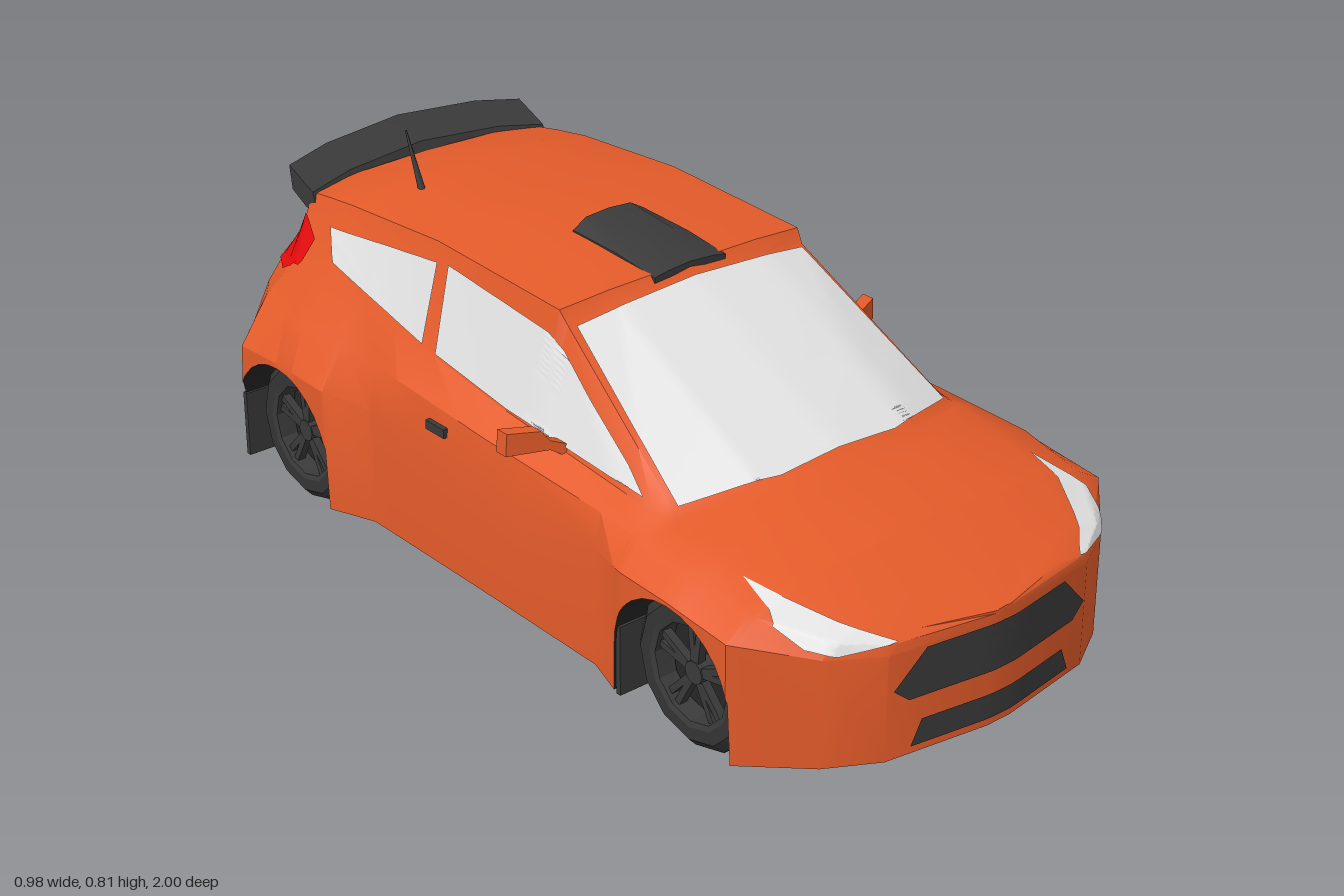
import * as THREE from 'three';
import { mergeVertices, toCreasedNormals } from 'three/addons/utils/BufferGeometryUtils.js';

const material = (name, color) => new THREE.MeshStandardMaterial({ name, color, side: THREE.DoubleSide });
const V = (x, y, z) => new THREE.Vector3(x, y, z);

// Long body lines, front to rear: [z, x, y, optional z shift]
const LINES = {
  waist: [[.995, .03, .29], [.96, .26, .29], [.9, .365, .295], [.78, .488, .32], [.62, .49, .335], [.48, .485, .335],
    [.36, .447, .32], [0, .442, .32], [-.38, .44, .32], [-.5, .485, .335], [-.65, .487, .34], [-.8, .485, .33], [-.9, .38, .3], [-.97, .25, .28]],
  shoulder: [[.995, .025, .305], [.96, .24, .31], [.9, .34, .325], [.78, .425, .355], [.62, .445, .375], [.48, .435, .385],
    [.36, .43, .39], [0, .428, .4], [-.38, .425, .42], [-.65, .44, .43], [-.8, .42, .43], [-.9, .355, .42], [-.97, .25, .39]],
  base: [[.995, .02, .31], [.96, .18, .32], [.9, .27, .34], [.78, .33, .378], [.62, .36, .4], [.5, .38, .407],
    [0, .375, .445], [-.24, .372, .475], [-.62, .365, .535], [-.76, .365, .505], [-.92, .315, .45], [-.97, .25, .435]],
  roofEdge: [[.995, .015, .312], [.96, .09, .322], [.78, .17, .392], [.62, .2, .428], [.5, .358, .41], [.11, .305, .648],
    [.09, .31, .676], [-.3, .31, .69], [-.6, .31, .67], [-.79, .3, .645], [-.97, .235, .455]],
  roofMid: [[.995, .01, .312], [.96, .05, .325], [.78, .1, .397], [.62, .12, .433], [.5, .2, .442, .05], [.11, .19, .664, .01],
    [.09, .19, .688, .01], [-.3, .19, .705], [-.6, .19, .692], [-.79, .18, .66], [-.97, .12, .462]],
  centre: [[.995, 0, .313], [.96, 0, .328], [.78, 0, .4], [.62, 0, .437], [.5, 0, .45, .06], [.11, 0, .672, .015],
    [.09, 0, .693, .015], [-.1, 0, .706], [-.3, 0, .712], [-.6, 0, .7], [-.79, 0, .665], [-.97, 0, .465]],
};
const AXLES = [.62, -.655], ARCH = .167, WHEEL_Y = .16;
const sill = z => .061 + .006 * z;

function archY(z) {
  for (const c of AXLES) {
    const d = Math.abs(z - c);
    if (d <= ARCH) return WHEEL_Y + Math.sqrt(Math.max(0, ARCH * ARCH - d * d));
  }
  return sill(z);
}

// Point on a body line; the tail leans forward with height
function sample(line, z) {
  let i = 0;
  while (i < line.length - 2 && z < line[i + 1][0]) i++;
  const a = line[i], b = line[i + 1], t = (a[0] - z) / (a[0] - b[0]);
  const mix = k => THREE.MathUtils.lerp(a[k] ?? 0, b[k] ?? 0, t);
  const lean = THREE.MathUtils.clamp((-z - .7) / .27, 0, 1) * .15;
  return V(mix(1), mix(2), z + mix(3) + (mix(2) - .2) * lean);
}

function stations() {
  const zs = new Set(Object.values(LINES).flat().map(p => p[0]));
  for (const c of AXLES) {
    for (let i = 0; i <= 14; i++) zs.add(+(c + ARCH * Math.cos(i * Math.PI / 14)).toFixed(4));
    zs.add(c + ARCH + .001).add(c - ARCH - .001);
  }
  return [...zs].sort((a, b) => b - a);
}

function loft(rows, crease = .5) {
  const n = rows[0].length, index = [];
  for (let i = 0; i < rows.length - 1; i++) for (let j = 0; j < n - 1; j++) {
    const a = i * n + j, d = a + n;
    index.push(a, a + 1, d + 1, a, d + 1, d);
  }
  const g = new THREE.BufferGeometry().setFromPoints(rows.flat());
  g.setIndex(index);
  return toCreasedNormals(g, crease);
}

const mirrorRow = half => [...half.map(p => V(-p.x, p.y, p.z)), ...half.slice(0, -1).reverse()];
// Close both ends of a loft by shrinking the end rows to a point
function capped(rows) {
  const cap = row => {
    const c = row.reduce((s, p) => s.add(p), V(0, 0, 0)).divideScalar(row.length);
    return row.map(() => c.clone());
  };
  return [cap(rows[0]), ...rows, cap(rows.at(-1))];
}

// Sweep a mirror part backwards as it reaches outwards
function swept(g) {
  const p = g.attributes.position;
  for (let i = 0; i < p.count; i++) p.setZ(i, p.getZ(i) - (Math.abs(p.getX(i)) - .365) * .45);
  g.computeVertexNormals();
  return g;
}

export function createModel() {
  const car = new THREE.Group();
  car.name = 'rallyHatchback';
  const paint = material('orangePaint', 0xe45b2a), glass = material('paleGlass', 0xe4e4e4), trim = material('darkTrim', 0x3a3a3a),
    rubber = material('tyreRubber', 0x343434), black = material('blackUnderside', 0x262626), red = material('redLamp', 0xe60c0c);
  const add = (name, geometry, mat, parent = car) => {
    const m = new THREE.Mesh(geometry, mat);
    m.name = name;
    parent.add(m);
    return m;
  };
  const box = (name, mat, w, h, d, x, y, z) => add(name, new THREE.BoxGeometry(w, h, d).translate(x, y, z), mat);

  // Body shell and black floor with wheel wells
  const shell = [], floor = [];
  for (const z of stations()) {
    const pts = Object.values(LINES).map(l => sample(l, z)), y = archY(z), w = pts[0];
    w.y = Math.max(w.y, y + .008);
    const low = V(w.x, y, z);
    shell.push(mirrorRow([low, ...pts]));
    const inner = Math.min(.32, w.x);
    floor.push([low, V(inner, y, z), V(inner, sill(z), z), V(-inner, sill(z), z), V(-inner, y, z), V(-w.x, y, z)]);
  }
  const flatten = row => row.map(p => V(0, p.y, p.z));
  const body = add('bodyShell', loft([flatten(shell[0]), ...shell, flatten(shell.at(-1))]), paint);
  add('floor', loft(floor, .3), black);
  car.updateMatrixWorld(true);

  // Thin panel laid onto the shell: outline seen along one axis, split finely and projected
  const ray = new THREE.Raycaster();
  function panel(name, mat, outline, axis, sign, off = .005) {
    let tris = new THREE.ShapeGeometry(new THREE.Shape(outline.map(p => new THREE.Vector2(...p)))).toNonIndexed();
    for (let k = 0; k < 4; k++) {
      const p = tris.attributes.position, out = [];
      for (let i = 0; i < p.count; i += 3) {
        const [a, b, c] = [0, 1, 2].map(j => new THREE.Vector3().fromBufferAttribute(p, i + j));
        const [ab, bc, ca] = [[a, b], [b, c], [c, a]].map(([s, t]) => s.clone().lerp(t, .5));
        out.push(a, ab, ca, ab, b, bc, ca, bc, c, ab, bc, ca);
      }
      tris = new THREE.BufferGeometry().setFromPoints(out);
    }
    const g = mergeVertices(tris, 1e-5), p = g.attributes.position, dir = V(0, 0, 0);
    dir[axis] = -sign;
    let depth = 0;
    for (let i = 0; i < p.count; i++) {
      const u = p.getX(i), v = p.getY(i);
      const at = axis === 'x' ? V(0, v, u) : axis === 'y' ? V(u, 0, v) : V(u, v, 0);
      at[axis] = 2 * sign;
      ray.set(at, dir);
      const hit = ray.intersectObject(body)[0];
      if (hit) depth = hit.point[axis];
      at[axis] = depth + off * sign;
      p.setXYZ(i, at.x, at.y, at.z);
    }
    add(name, toCreasedNormals(g, .5), mat);
  }
  const both = half => [...half, ...half.map(([u, v]) => [-u, v]).reverse()];

  // Glass, grilles and tail panels
  panel('windscreen', glass, both([[.15, .55], [.2, .54], [.348, .486], [.293, .122], [.19, .13]]), 'y', 1);
  panel('rearWindow', glass, both([[.21, .615], [.228, .6], [.215, .51], [.19, .49]]), 'z', -1);
  panel('upperGrille', trim, both([[.18, .288], [.25, .215], [.215, .187]]), 'z', 1);
  panel('lowerGrille', trim, both([[.185, .138], [.208, .085]]), 'z', 1);
  panel('plateRecess', trim, both([[.076, .41], [.08, .35]]), 'z', -1);
  panel('rearDiffuser', trim, both([[.25, .172], [.37, .11], [.39, .06]]), 'z', -1, .008);

  for (const s of [1, -1]) {
    const side = s > 0 ? 'left' : 'right', flip = pts => pts.map(([x, z]) => [x * s, z]);
    panel(side + 'FrontWindow', glass, [[.42, .428], [.08, .63], [-.25, .658], [-.235, .482], [0, .452]], 'x', s);
    panel(side + 'QuarterWindow', glass, [[-.28, .488], [-.285, .653], [-.655, .612], [-.61, .552]], 'x', s);
    panel(side + 'Headlight', glass, flip([[.375, .383], [.41, .345], [.385, .312], [.345, .302], [.238, .315], [.31, .345]]), 'z', 1, .009);
    panel(side + 'TailLight', red, flip([[.345, -.70], [.372, -.73], [.366, -.8], [.315, -.888], [.26, -.908], [.308, -.8]]), 'y', 1, .008);
    box(side + 'DoorHandle', trim, .014, .02, .06, s * .436, .368, -.15);

    // Door mirror on its arm
    const arm = [[.365, .415], [.405, .44], [.485, .437], [.482, .485], [.42, .482], [.405, .46], [.365, .445]];
    const mirror = new THREE.Shape(flip(arm).map(p => new THREE.Vector2(...p)));
    add(side + 'Mirror', swept(new THREE.ExtrudeGeometry(mirror, { depth: .03, bevelEnabled: false }).translate(0, 0, .165)), paint);
    add(side + 'MirrorGlass', swept(new THREE.BoxGeometry(.056, .036, .006).translate(s * .449, .461, .164)), glass);

    // Exhaust and its dark bore
    add(side + 'Exhaust', new THREE.CylinderGeometry(.032, .032, .07, 10).rotateX(Math.PI / 2).translate(s * .19, .12, -.965), trim);
    add(side + 'ExhaustBore', new THREE.CircleGeometry(.022, 10).rotateY(Math.PI).translate(s * .19, .12, -1.001), black);

    // Wheels and mud flaps
    AXLES.forEach((z, i) => {
      const wheel = new THREE.Group();
      wheel.name = side + (i ? 'RearWheel' : 'FrontWheel');
      wheel.position.set(s * .385, WHEEL_Y, z);
      if (s < 0) wheel.rotation.y = Math.PI;
      car.add(wheel);
      const turned = (name, pts, mat) => add(name, toCreasedNormals(new THREE.LatheGeometry(
        pts.map(p => new THREE.Vector2(...p)), 12).rotateZ(-Math.PI / 2), .4), mat, wheel);
      turned('tyre', [[.11, -.05], [.14, -.05], [.16, -.032], [.16, .032], [.14, .05], [.113, .05]], rubber);
      turned('rim', [[.1, .005], [.102, .046], [.115, .05]], trim);
      turned('brakeDisc', [[0, -.045], [.112, -.045]], black);
      turned('rimBack', [[0, .003], [.104, .003]], black);
      add('hub', new THREE.CylinderGeometry(.024, .028, .035, 10).rotateZ(-Math.PI / 2).translate(.022, 0, 0), trim, wheel);
      for (let k = 0; k < 5; k++) for (const t of [-.13, .13])
        add('spoke', new THREE.BoxGeometry(.018, .088, .014).translate(.028, .06, 0)
          .rotateX(k * Math.PI * .4 + t), trim, wheel);
      box(side + (i ? 'RearMudFlap' : 'FrontMudFlap'), trim, .135, .15, .012, s * .405, .13, z - .16);
    });
  }

  // Rear lip under the bumper
  const lip = new THREE.Shape(both([[.42, .83], [.37, .9], [.25, .972]]).map(p => new THREE.Vector2(...p)));
  add('rearLip', new THREE.ExtrudeGeometry(lip, { depth: .03, bevelEnabled: false }).rotateX(-Math.PI / 2).translate(0, .047, 0), trim);

  // Arched roof spoiler
  const wing = [[-.78, .61], [-.83, .635], [-.838, .688], [-.752, .652], [-.735, .605], [-.78, .61]];
  add('roofSpoiler', loft(capped([-.31, -.2, 0, .2, .31].map(x => {
    const k = 1 - (x / .31) ** 2;
    return wing.map(([z, y]) => V(x, y + .028 * k, z - .035 * k));
  })), .4), trim);

  // Roof vent
  const vent = [[.115, .672, .688, .694], [0, .685, .701, .712], [-.14, .69, .706, .726]];
  add('roofVent', loft(capped(vent.map(([z, a, b, c]) =>
    mirrorRow([V(.092, a, z), V(.092, b, z), V(.058, c, z), V(0, c + .004, z)]))), .3), trim);

  // Antenna
  const antenna = add('antenna', new THREE.CylinderGeometry(.002, .008, .13, 6), trim);
  antenna.position.set(-.18, .75, -.56);
  antenna.rotation.x = -.4;
  return car;
}
